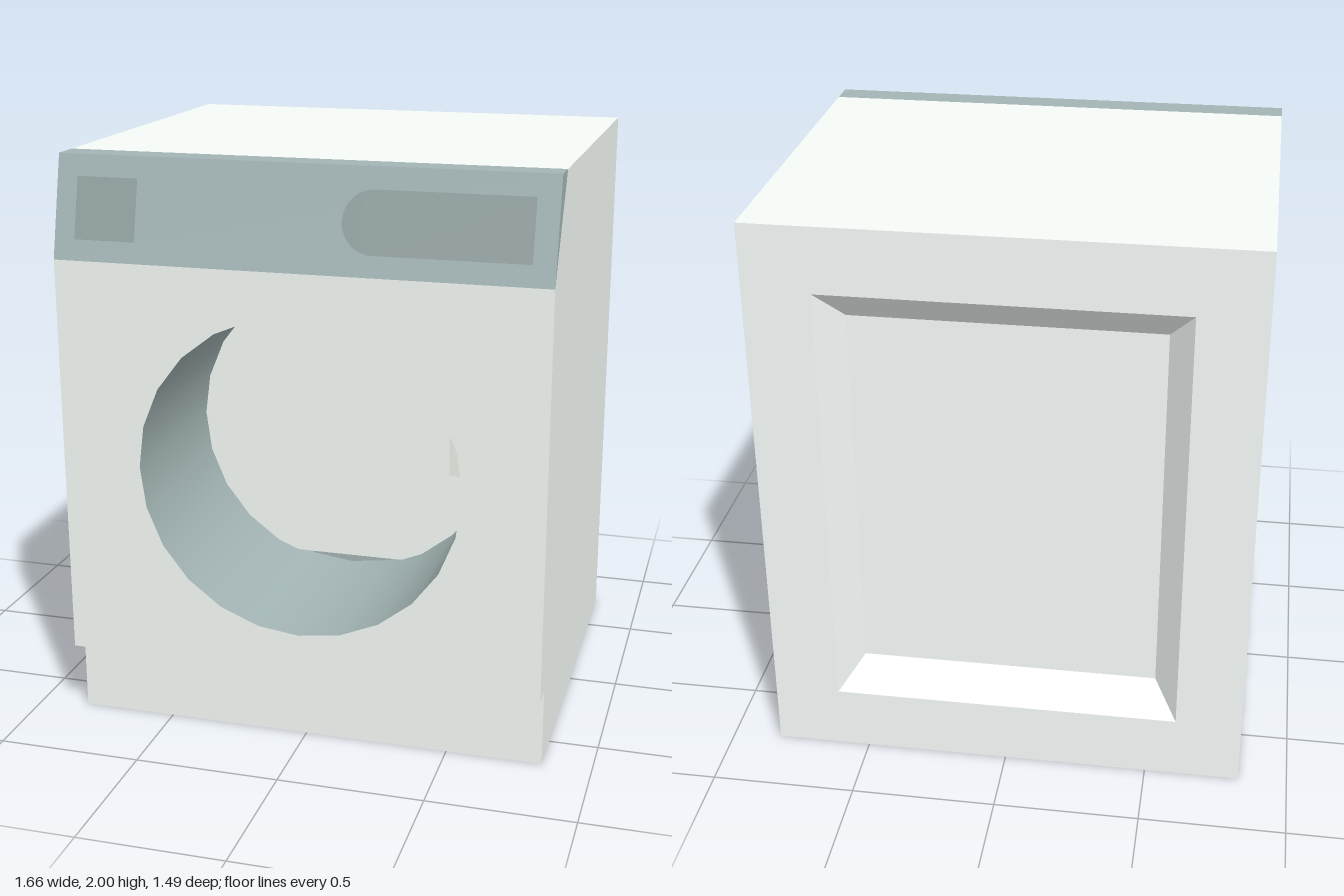
import * as THREE from 'three';

const W = 0.83, BACK = -0.745, FRONT = 0.745, TOE = 0.663, TOE_Y = 0.268;
const DRUM_Y = 0.963, DRUM_R = 0.555, DRUM_BACK = 0.1, DRUM_END = 0.06, DRUM_FLOOR = 0.45;

const mat = (color) => new THREE.MeshStandardMaterial({ color, side: THREE.DoubleSide });
const white = mat(0xf5faf7), cream = mat(0xf8fdf2), teal = mat(0xa3b4b4), dark = mat(0x93a2a2);

function add(group, name, geometry, material = white) {
  const mesh = new THREE.Mesh(geometry, material);
  mesh.name = name;
  group.add(mesh);
  return mesh;
}

const polygon = (pts) => new THREE.Shape(pts.map(([x, y]) => new THREE.Vector2(x, y)));
const rectangle = (x, y0, y1) => [[-x, y0], [x, y0], [x, y1], [-x, y1]];

// Four-cornered face, corners counter-clockwise from its front
function quad(a, b, c, d) {
  const g = new THREE.BufferGeometry();
  g.setAttribute('position', new THREE.Float32BufferAttribute([...a, ...b, ...c, ...a, ...c, ...d], 3));
  g.computeVertexNormals();
  return g;
}

// Face spanning the full width between two (z, y) profile points
const span = ([z0, y0], [z1, y1]) => quad([-W, y0, z0], [W, y0, z0], [W, y1, z1], [-W, y1, z1]);

function buildCabinet() {
  const g = new THREE.Group();
  g.name = 'cabinet';

  // Side walls, cut back at the toe kick and the control panel
  const side = polygon([[BACK, 0], [TOE, 0], [TOE, TOE_Y], [FRONT, TOE_Y], [FRONT, 1.66], [0.565, 2], [BACK, 2]]);
  const wall = new THREE.ShapeGeometry(side).rotateY(-Math.PI / 2);
  add(g, 'leftSide', wall).position.x = W;
  add(g, 'rightSide', wall).position.x = -W;

  add(g, 'bottom', span([BACK, 0], [TOE, 0]));
  add(g, 'toeKick', span([TOE, 0], [TOE, TOE_Y]));
  add(g, 'toeKickCeiling', span([TOE, TOE_Y], [FRONT, TOE_Y]));
  add(g, 'top', span([0.565, 2], [BACK, 2]));

  // Front plate with the round drum opening
  const front = polygon(rectangle(W, TOE_Y, 1.66));
  const rim = [];
  for (let i = 0; i < 24; i++) {
    const a = (i / 24) * Math.PI * 2;
    rim.push(new THREE.Vector2(DRUM_R * Math.cos(a), DRUM_Y + DRUM_R * Math.sin(a)));
  }
  front.holes.push(new THREE.Path(rim));
  add(g, 'frontPlate', new THREE.ShapeGeometry(front)).position.z = FRONT;

  // Back frame around a recessed panel with sloping sides
  const outer = rectangle(0.602, 0.226, 1.773), inner = rectangle(0.52, 0.332, 1.664);
  const frame = polygon(rectangle(W, 0, 2));
  frame.holes.push(polygon(outer));
  const rear = new THREE.Group();
  rear.name = 'backPanel';
  rear.position.z = BACK;
  rear.rotation.y = Math.PI;
  g.add(rear);
  add(rear, 'backFrame', new THREE.ShapeGeometry(frame));
  add(rear, 'recessFloor', new THREE.ShapeGeometry(polygon(inner))).position.z = -0.097;
  for (let i = 0; i < 4; i++) {
    const j = (i + 1) % 4;
    add(rear, 'recessSlope', quad([...outer[i], 0], [...outer[j], 0], [...inner[j], -0.097], [...inner[i], -0.097]));
  }
  return g;
}

function buildDrum() {
  const g = new THREE.Group();
  g.name = 'drum';
  const depth = FRONT - DRUM_END;
  const wall = new THREE.CylinderGeometry(DRUM_R, DRUM_R, depth, 24, 1, true);
  add(g, 'drumWall', wall.rotateX(Math.PI / 2).translate(0, DRUM_Y, DRUM_END + depth / 2), teal);
  add(g, 'drumEnd', new THREE.CircleGeometry(DRUM_R, 24).translate(0, DRUM_Y, DRUM_END), teal);

  // Pale plate closing the drum, cut off straight just above its floor
  const plate = new THREE.CircleGeometry(0.59, 24).translate(0, DRUM_Y, DRUM_BACK);
  const p = plate.attributes.position;
  for (let i = 0; i < p.count; i++) p.setY(i, Math.max(p.getY(i), DRUM_FLOOR));
  add(g, 'drumPlate', plate);

  // Shallow wedge beside the drum wall
  const wedge = polygon([[0.375, DRUM_BACK], [0.55, DRUM_BACK], [0.55, DRUM_BACK + 0.06]]);
  const geo = new THREE.ExtrudeGeometry(wedge, { depth: 0.405, bevelEnabled: false });
  add(g, 'drumWedge', geo.rotateX(Math.PI / 2).translate(0, 1.205, 0), cream);
  return g;
}

function buildControlPanel() {
  const g = new THREE.Group();
  g.name = 'controlPanel';
  const profile = polygon([[FRONT, 1.66], [TOE, 2], [0.565, 2]]);
  const body = new THREE.ExtrudeGeometry(profile, { depth: 2 * W, bevelEnabled: false });
  add(g, 'panelBody', body.translate(0, 0, -W).rotateY(-Math.PI / 2), teal);

  // Flat inlays lying on the sloping face
  const tilt = Math.atan2(FRONT - TOE, 0.34), lift = 0.0008;
  const inlays = new THREE.Group();
  inlays.name = 'panelInlays';
  inlays.position.set(0, 1.66 + lift * Math.sin(tilt), FRONT + lift * Math.cos(tilt));
  inlays.rotation.x = -tilt;
  g.add(inlays);
  const lo = 0.07, hi = 0.277, r = (hi - lo) / 2;
  add(inlays, 'drawerInlay', new THREE.ShapeGeometry(polygon([[-0.76, lo], [-0.55, lo], [-0.55, hi], [-0.76, hi]])), dark);
  const display = new THREE.Shape();
  display.moveTo(0.757, lo);
  display.lineTo(0.757, hi);
  display.lineTo(0.145 + r, hi);
  display.absarc(0.145 + r, lo + r, r, Math.PI / 2, Math.PI * 1.5, false);
  display.closePath();
  add(inlays, 'displayInlay', new THREE.ShapeGeometry(display), dark);
  return g;
}

export function createModel() {
  const model = new THREE.Group();
  model.name = 'washingMachine';
  model.add(buildCabinet(), buildDrum(), buildControlPanel());
  return model;
}
